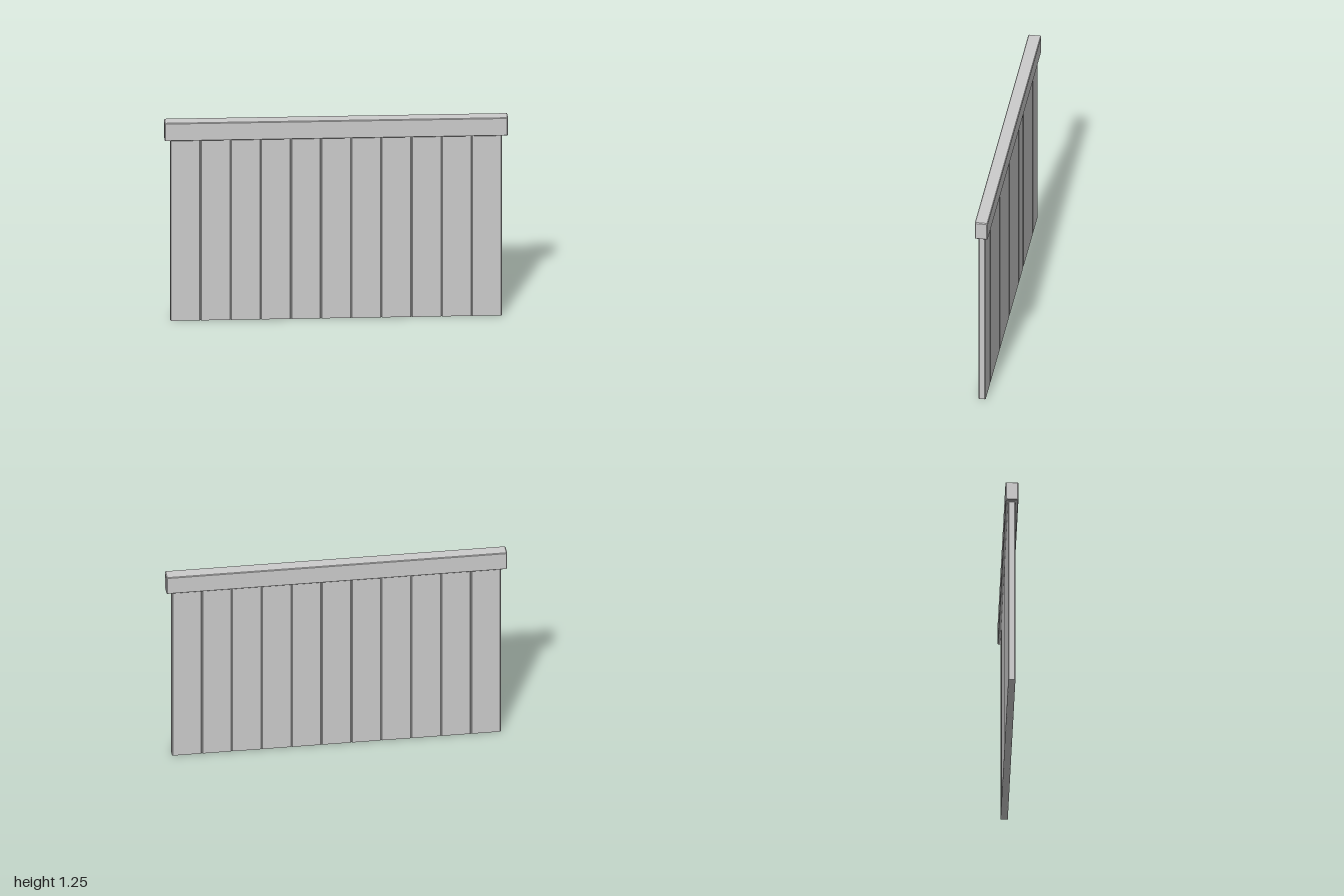
import * as THREE from 'three';

const material = new THREE.MeshStandardMaterial({ color: 0xcccccc, flatShading: true });

// Rectangle with chamfered corners, centred on the origin
function chamferedRect(w, h, c) {
  const x = w / 2, y = h / 2;
  return new THREE.Shape([
    [-x + c, -y], [x - c, -y], [x, -y + c], [x, y - c],
    [x - c, y], [-x + c, y], [-x, y - c], [-x, -y + c],
  ].map(([px, py]) => new THREE.Vector2(px, py)));
}

export function createModel() {
  const group = new THREE.Group();

  // Vertical boards, chamfered so that V-grooves form at the joints
  const count = 11, pitch = 0.1755, boardHeight = 1.16;
  const boardGeometry = new THREE.ExtrudeGeometry(
    chamferedRect(pitch, 0.042, 0.005),
    { depth: boardHeight, bevelEnabled: false },
  );
  boardGeometry.rotateX(-Math.PI / 2);
  const boards = new THREE.Group();
  boards.name = 'boards';
  for (let i = 0; i < count; i++) {
    const board = new THREE.Mesh(boardGeometry, material);
    board.name = `board${i + 1}`;
    board.position.x = (i - (count - 1) / 2) * pitch;
    boards.add(board);
  }
  group.add(boards);

  // Top rail, chamfered on every edge
  const bevel = 0.005, length = 2;
  const railGeometry = new THREE.ExtrudeGeometry(
    chamferedRect(0.076 - 2 * bevel, 0.113 - 2 * bevel, 0.001),
    {
      depth: length - 2 * bevel, bevelEnabled: true, bevelSegments: 1,
      bevelSize: bevel, bevelThickness: bevel,
    },
  );
  railGeometry.center();
  railGeometry.rotateY(Math.PI / 2);
  const rail = new THREE.Mesh(railGeometry, material);
  rail.name = 'topRail';
  rail.position.y = 1.195;
  group.add(rail);

  return group;
}
